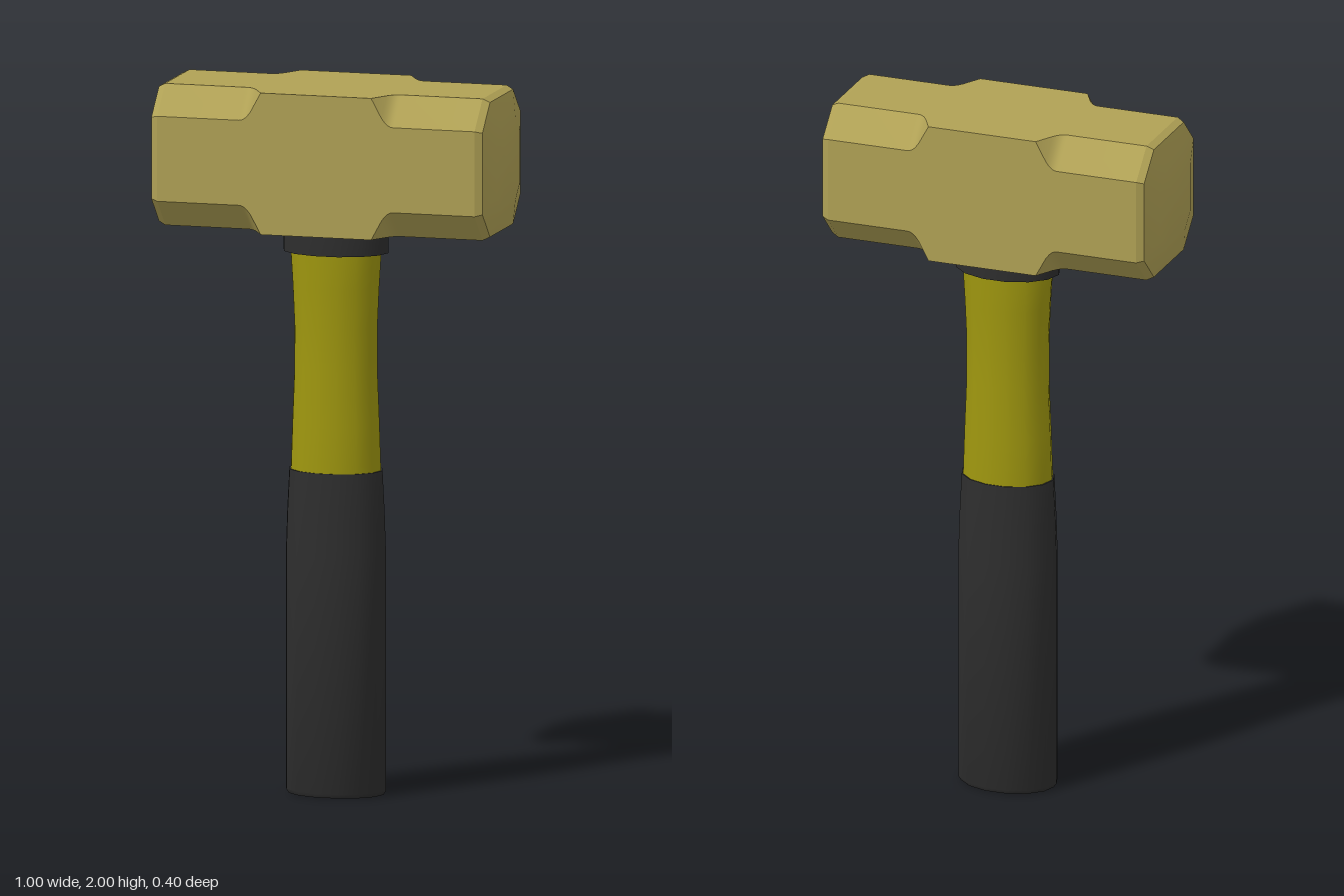
import * as THREE from 'three';
import { toCreasedNormals } from 'three/addons/utils/BufferGeometryUtils.js';

// Skin a stack of [height, ring] sections along y, closing both ends
function loft(sections, crease) {
  const pos = [];
  const a = new THREE.Vector3(), b = new THREE.Vector3(), n = new THREE.Vector3();
  const tri = (p, q, r) => {
    n.crossVectors(a.subVectors(q, p), b.subVectors(r, p));
    if (n.length() > 1e-9) pos.push(...p.toArray(), ...q.toArray(), ...r.toArray());
  };
  const rings = sections.map(([y, ring]) => ring.map(([x, z]) => new THREE.Vector3(x, y, z)));
  const count = rings[0].length, last = rings.length - 1;
  const low = new THREE.Vector3(0, sections[0][0], 0);
  const high = new THREE.Vector3(0, sections[last][0], 0);
  for (let j = 0; j < count; j++) {
    const k = (j + 1) % count;
    for (let i = 0; i < last; i++) {
      tri(rings[i][j], rings[i + 1][j], rings[i][k]);
      tri(rings[i][k], rings[i + 1][j], rings[i + 1][k]);
    }
    tri(low, rings[0][j], rings[0][k]);
    tri(high, rings[last][k], rings[last][j]);
  }
  const geometry = new THREE.BufferGeometry();
  geometry.setAttribute('position', new THREE.Float32BufferAttribute(pos, 3));
  return toCreasedNormals(geometry, crease);
}

// Square of half size h with corners cut by c
function octagon(h, c) {
  const k = h - c;
  return [[h, -k], [h, k], [k, h], [-k, h], [-h, k], [-h, -k], [-k, -h], [k, -h]];
}

function ellipse(rx, rz, sides = 14) {
  return Array.from({ length: sides }, (_, i) => {
    const t = (i / sides) * Math.PI * 2;
    return [rx * Math.cos(t), rz * Math.sin(t)];
  });
}

// Oval part from [y, half width, half depth] rows
const oval = (rows) => loft(rows.map(([y, rx, rz]) => [y, ellipse(rx, rz)]), 0.7);

export function createModel() {
  const material = (name, color) => {
    const m = new THREE.MeshStandardMaterial({ color });
    m.name = name;
    return m;
  };
  const brass = material('brass', 0xb0a155);
  const yellow = material('yellow', 0x9f970f);
  const black = material('black', 0x2e2e2e);

  const group = new THREE.Group();
  group.name = 'sledgehammer';
  const add = (name, geometry, mat) => {
    const mesh = new THREE.Mesh(geometry, mat);
    mesh.name = name;
    group.add(mesh);
    return mesh;
  };

  // Head: square middle, curved run-out into chamfered ends, domed faces
  // rows are distance from the middle, half size, corner cut
  const half = [
    [0.16, 0.2, 0], [0.19, 0.2, 0.055], [0.2, 0.2, 0.068], [0.208, 0.2, 0.075],
    [0.216, 0.2, 0.079], [0.225, 0.2, 0.08], [0.46, 0.2, 0.08],
    [0.48, 0.19, 0.075], [0.5, 0.115, 0.045],
  ];
  const mirrored = half.map(([d, h, c]) => [-d, h, c]).reverse();
  const headGeometry = loft([...mirrored, ...half].map(([d, h, c]) => [d, octagon(h, c)]), 0.4);
  headGeometry.rotateZ(-Math.PI / 2);
  add('head', headGeometry, brass).position.y = 1.8;

  // Collar under the head
  add('collar', oval([[1.53, 0.152, 0.108], [1.62, 0.152, 0.108]]), black);

  // Waisted handle shaft
  add('shaft', oval([
    [0.9, 0.131, 0.098], [1.05, 0.126, 0.095], [1.2, 0.12, 0.091], [1.32, 0.12, 0.09],
    [1.43, 0.125, 0.093], [1.54, 0.132, 0.096],
  ]), yellow);

  // Rubber grip
  add('grip', oval([
    [0, 0.137, 0.098], [0.012, 0.145, 0.105], [0.68, 0.145, 0.105],
    [0.8, 0.141, 0.103], [0.915, 0.135, 0.1],
  ]), black);

  return group;
}
